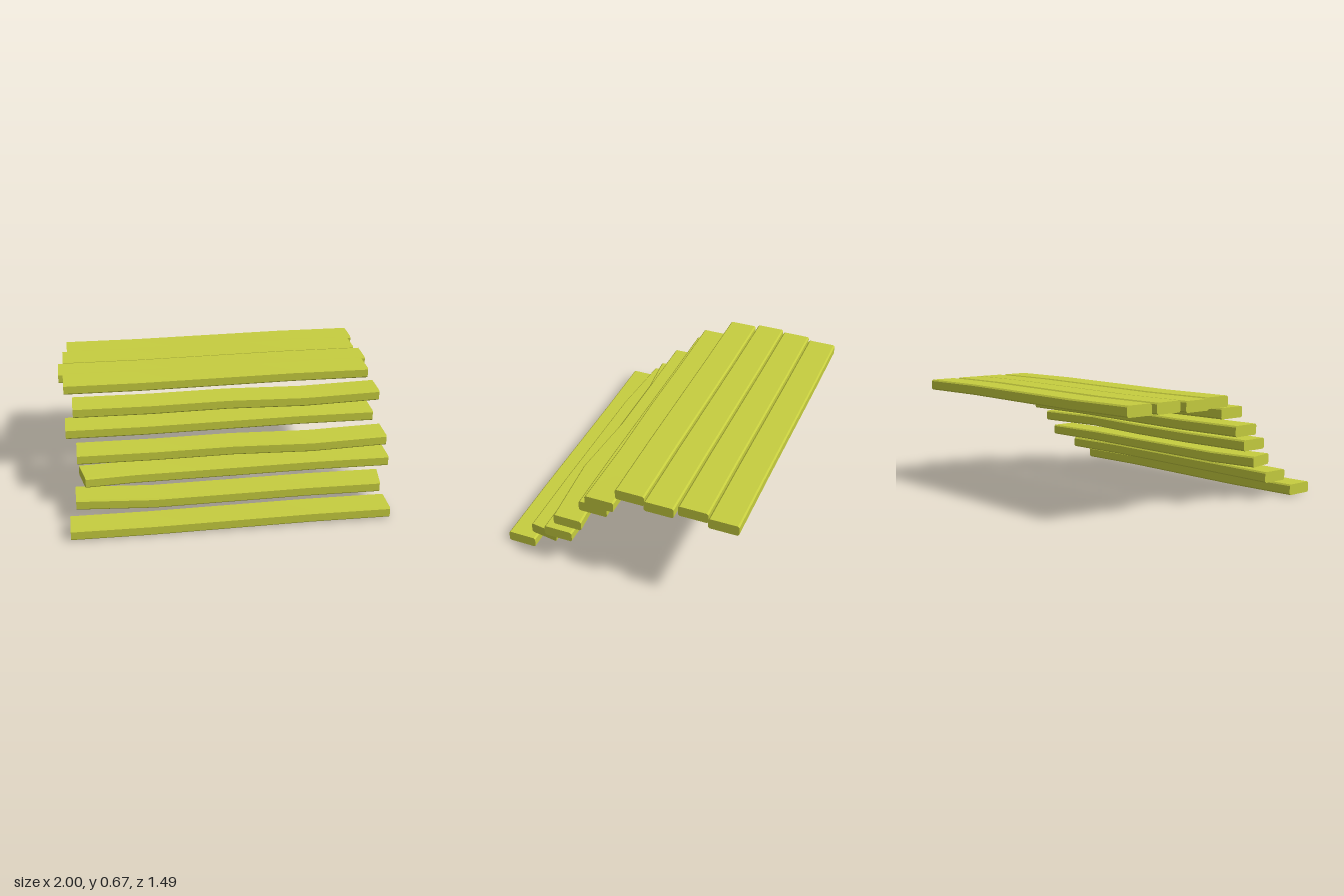
import * as THREE from 'three';
import { toCreasedNormals } from 'three/addons/utils/BufferGeometryUtils.js';

const HALF_H = 0.033, HALF_D = 0.089, BEVEL = 0.009;
const WAVE = [0, -0.004, 0, 0.004, 0];

// Chamfered cross-section as [z, y], from top back over the front and round.
const SECTION = [
  [-HALF_D + BEVEL, HALF_H], [HALF_D - BEVEL, HALF_H],
  [HALF_D, HALF_H - BEVEL], [HALF_D, -HALF_H + BEVEL],
  [HALF_D - BEVEL, -HALF_H], [-HALF_D + BEVEL, -HALF_H],
  [-HALF_D, -HALF_H + BEVEL], [-HALF_D, HALF_H - BEVEL],
];

// A warped plank: five sections along x, shifted by dy and dz; skews slant the ends.
function plankGeometry({ x0, x1, y, z, dy = WAVE, dz = [0, 0, 0, 0, 0], skewL = 0, skewR = 0, us = [0, 0.25, 0.5, 0.75, 1] }) {
  const pos = [], index = [], n = SECTION.length;
  us.forEach((u, i) => {
    const skew = i === 0 ? skewL : i === 4 ? skewR : 0;
    for (const [sz, sy] of SECTION) {
      pos.push(x0 + (x1 - x0) * u + skew * sz / HALF_D, y + sy + dy[i], z + sz + dz[i]);
    }
  });
  for (let i = 0; i < 4; i++) {
    for (let j = 0; j < n; j++) {
      const a = i * n + j, b = i * n + (j + 1) % n;
      index.push(a, b, b + n, a, b + n, a + n);
    }
  }
  // End caps
  for (let j = 1; j < n - 1; j++) {
    index.push(0, j + 1, j, 4 * n, 4 * n + j, 4 * n + j + 1);
  }
  const g = new THREE.BufferGeometry();
  g.setAttribute('position', new THREE.Float32BufferAttribute(pos, 3));
  g.setIndex(index);
  return toCreasedNormals(g, 0.5);
}

// Steps from the lowest up
const STEPS = [
  { x0: -0.97, x1: 0.94, y: 0.037, z: 0.655 },
  { x0: -0.93, x1: 0.925, y: 0.131, z: 0.505, dz: [-0.035, 0, 0, 0, 0], skewR: -0.013 },
  { x0: -0.885, x1: 1.0, y: 0.231, z: 0.365, dz: [0.026, 0, 0, 0, 0], skewL: 0.018, us: [0, 0.16, 0.5, 0.75, 1] },
  { x0: -0.91, x1: 1.0, y: 0.341, z: 0.297, dz: [0, 0, 0, 0.033, 0] },
  { x0: -0.97, x1: 0.945, y: 0.446, z: 0.155 },
  { x0: -0.92, x1: 1.0, y: 0.551, z: 0.085, dy: [0, -0.005, 0, -0.012, 0] },
];

// Platform boards from the front to the back
const BOARDS = [
  { x0: -0.97, x1: 0.97, y: 0.63, z: -0.093 },
  { x0: -1.0, x1: 1.0, y: 0.627, z: -0.281 },
  { x0: -0.97, x1: 0.97, y: 0.63, z: -0.472 },
  { x0: -0.94, x1: 1.0, y: 0.626, z: -0.66 },
];

export function createModel() {
  const model = new THREE.Group();
  model.name = 'plankStairs';
  const wood = new THREE.MeshStandardMaterial({ color: 0xc6cd3f });
  const addPlanks = (list, groupName, plankName) => {
    const group = new THREE.Group();
    group.name = groupName;
    list.forEach((spec, i) => {
      const mesh = new THREE.Mesh(plankGeometry(spec), wood);
      mesh.name = `${plankName}${i + 1}`;
      group.add(mesh);
    });
    model.add(group);
  };
  addPlanks(STEPS, 'steps', 'step');
  addPlanks(BOARDS, 'platform', 'platformBoard');
  return model;
}
